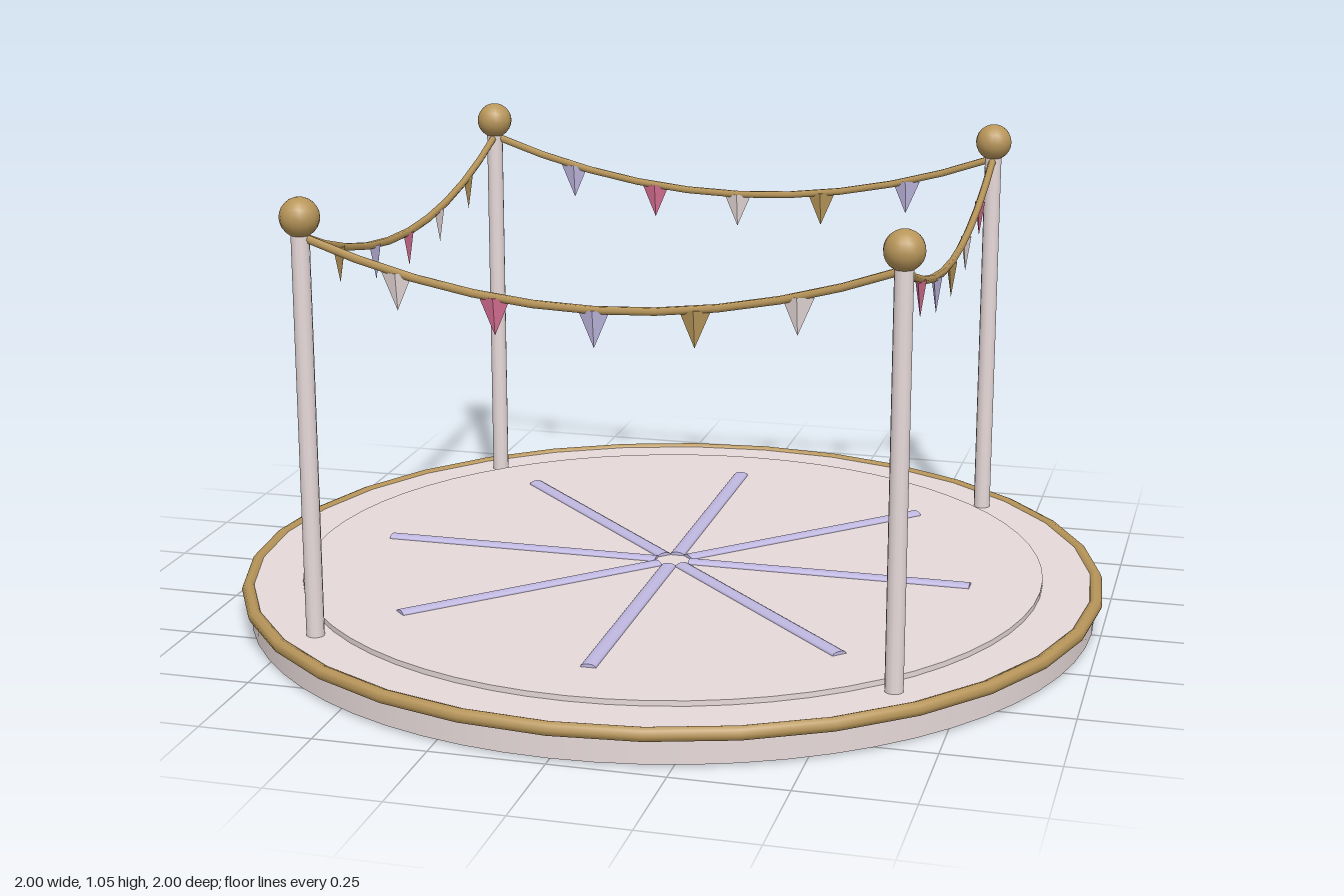
import * as THREE from 'three';

const material = (name, color) => {
  const m = new THREE.MeshStandardMaterial({ color });
  m.name = name;
  return m;
};

export function createModel() {
  const model = new THREE.Group();
  model.name = 'festivalPlatform';

  const cream = material('pale cream', 0xe8dada);
  const gold = material('antique gold', 0xb8965a);
  const lavender = material('lavender', 0xc0b8e0);
  const pink = material('rose pink', 0xd87093);

  const add = (parent, name, geometry, mat, x = 0, y = 0, z = 0) => {
    const mesh = new THREE.Mesh(geometry, mat);
    mesh.name = name;
    mesh.position.set(x, y, z);
    parent.add(mesh);
    return mesh;
  };

  // Round base, gold rim and raised floor
  add(model, 'base', new THREE.CylinderGeometry(0.98, 0.98, 0.075, 64), cream, 0, 0.0415);
  const rim = add(model, 'rim', new THREE.TorusGeometry(0.984, 0.016, 8, 32), gold, 0, 0.07);
  rim.rotation.x = Math.PI / 2;
  add(model, 'floor', new THREE.CylinderGeometry(0.86, 0.86, 0.02, 64), cream, 0, 0.081);

  // Eight low rounded spokes radiating over the floor
  const spokeGeometry = new THREE.CylinderGeometry(0.0175, 0.0175, 0.66, 12);
  spokeGeometry.rotateZ(Math.PI / 2);
  spokeGeometry.scale(1, 0.45, 1);
  spokeGeometry.translate(0.37, 0, 0);
  for (let i = 0; i < 8; i++) {
    add(model, 'spoke', spokeGeometry, lavender, 0, 0.091).rotation.y = i * Math.PI / 4;
  }

  // Garland curve, hung between neighbouring posts
  const span = 0.637;
  const garland = new THREE.QuadraticBezierCurve3(
    new THREE.Vector3(-span, 0.965, 0),
    new THREE.Vector3(0, 0.725, 0),
    new THREE.Vector3(span, 0.965, 0)
  );
  const ropeGeometry = new THREE.TubeGeometry(garland, 10, 0.009, 6);

  // Flattened four-sided pennant, point down, hanging from its origin
  const flagGeometry = new THREE.ConeGeometry(0.034, 0.08, 4).toNonIndexed();
  flagGeometry.rotateX(Math.PI);
  flagGeometry.scale(1, 1, 0.35);
  flagGeometry.translate(0, -0.04, 0);
  flagGeometry.computeVertexNormals();

  const postGeometry = new THREE.CylinderGeometry(0.02, 0.02, 0.97, 12);
  const finialGeometry = new THREE.SphereGeometry(0.043, 16, 12);
  const flagColours = [cream, pink, lavender, gold];

  // Each side carries one post, its finial, one rope and five pennants
  for (let s = 0; s < 4; s++) {
    const side = new THREE.Group();
    side.name = 'side';
    side.rotation.y = s * Math.PI / 2;
    model.add(side);
    add(side, 'post', postGeometry, cream, -span, 0.485, span);
    add(side, 'finial', finialGeometry, gold, -span, 1.005, span);
    add(side, 'rope', ropeGeometry, gold, 0, 0, span);
    for (let i = 0; i < 5; i++) {
      const p = garland.getPoint((i + 1) / 6);
      add(side, 'pennant', flagGeometry, flagColours[(s * 5 + i) % 4], p.x, p.y, span);
    }
  }
  return model;
}
